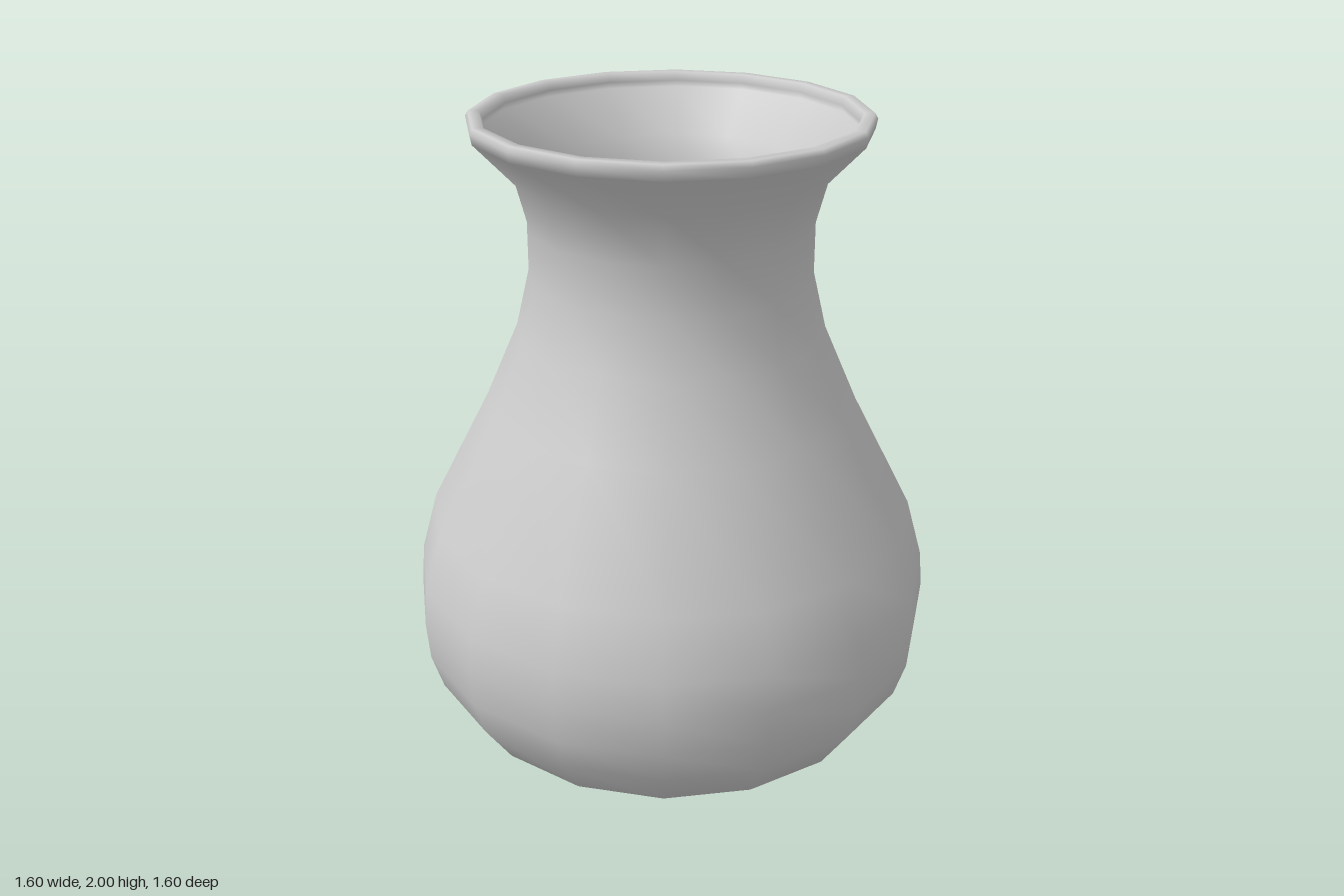
import * as THREE from 'three';

const SIDES = 16;
const WALL = 0.036;

// Outer silhouette from foot to lip: [radius, height]
const outer = [
  [0.435, 0], [0.665, 0.13], [0.755, 0.26], [0.79, 0.37], [0.8, 0.49],
  [0.79, 0.6], [0.74, 0.78], [0.56, 1.13], [0.46, 1.36], [0.42, 1.53],
  [0.42, 1.68], [0.46, 1.83], [0.578, 1.955],
];

// Rounded lip joining the outside to the inside
const lip = [[0.584, 1.985], [0.575, 2], [0.545, 2], [0.535, 1.975]];

export function createModel() {
  const group = new THREE.Group();
  group.name = 'vase';

  // Inner wall: the silhouette moved in by the wall thickness, running down to the floor
  const inner = outer.slice(1).reverse().map(([r, y]) => [r - WALL, y + (y < 0.2 ? 0.02 : 0)]);
  const profile = [[0, 0], ...outer, ...lip, ...inner, [0.42, 0.04], [0, 0.04]];

  // Hollow body turned as one smooth closed skin
  const body = new THREE.Mesh(
    new THREE.LatheGeometry(profile.map(([r, y]) => new THREE.Vector2(r, y)), SIDES),
    new THREE.MeshStandardMaterial({ color: 0xcccccc }),
  );
  body.name = 'vaseBody';
  group.add(body);
  return group;
}
